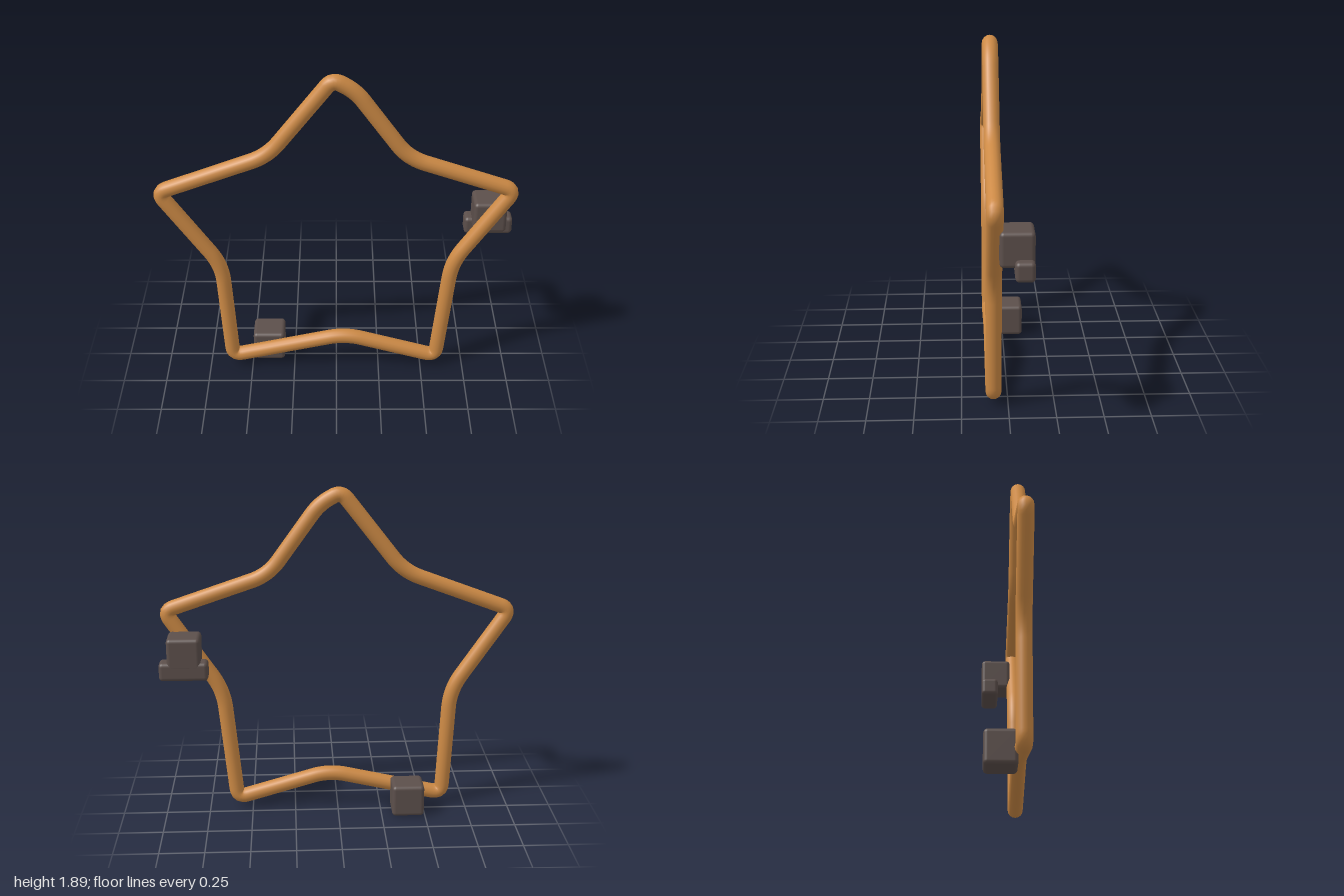
import * as THREE from 'three';
import { RoundedBoxGeometry } from 'three/addons/geometries/RoundedBoxGeometry.js';

const wood = new THREE.MeshStandardMaterial({ color: 0xcd8a45 });
wood.name = 'warm tan';
const dark = new THREE.MeshStandardMaterial({ color: 0x5c4f4b });
dark.name = 'dark brown';

const TUBE_RADIUS = 0.043;
const TUBE_Z = 0.078;

// Star outline, clockwise from the top: x, y, rounding distance
const corners = [
  [-0.02, 1.867, 0.05], [0.1, 1.8, 0.07],
  [0.385, 1.405, 0.1], [0.972, 1.205, 0.06],
  [0.655, 0.73, 0.11], [0.59, 0.053, 0.06],
  [0.05, 0.211, 0.1], [-0.617, 0.058, 0.06],
  [-0.652, 0.71, 0.11], [-0.978, 1.192, 0.06],
  [-0.37, 1.418, 0.1],
];

// Closed path of straight runs joined by rounded corners
function roundedLoop(list, z) {
  const points = list.map(([x, y]) => new THREE.Vector3(x, y, z));
  const toward = (a, b, d) => a.clone().add(b.clone().sub(a).setLength(d));
  const n = points.length;
  const bends = points.map((p, i) => {
    const d = list[i][2];
    return [toward(p, points[(i + n - 1) % n], d), p, toward(p, points[(i + 1) % n], d)];
  });
  const path = new THREE.CurvePath();
  bends.forEach(([start, mid, end], i) => {
    path.add(new THREE.QuadraticBezierCurve3(start, mid, end));
    path.add(new THREE.LineCurve3(end, bends[(i + 1) % n][0]));
  });
  return path;
}

function block(name, width, height, depth, x, y, z) {
  const mesh = new THREE.Mesh(new RoundedBoxGeometry(width, height, depth, 3, 0.022), dark);
  mesh.name = name;
  mesh.position.set(x, y, z);
  return mesh;
}

export function createModel() {
  const model = new THREE.Group();
  model.name = 'starFrame';

  // Bent star tube
  const path = roundedLoop(corners, TUBE_Z);
  const star = new THREE.Mesh(new THREE.TubeGeometry(path, 400, TUBE_RADIUS, 16, true), wood);
  star.name = 'starTube';
  model.add(star);

  // Blocks fixed behind the tube
  model.add(
    block('lowerBlock', 0.185, 0.187, 0.175, -0.402, 0.0935, -0.032),
    block('upperBlock', 0.185, 0.185, 0.175, 0.857, 1.003, -0.032),
    block('upperBlockFoot', 0.272, 0.105, 0.1, 0.86, 0.905, -0.069),
  );
  return model;
}
